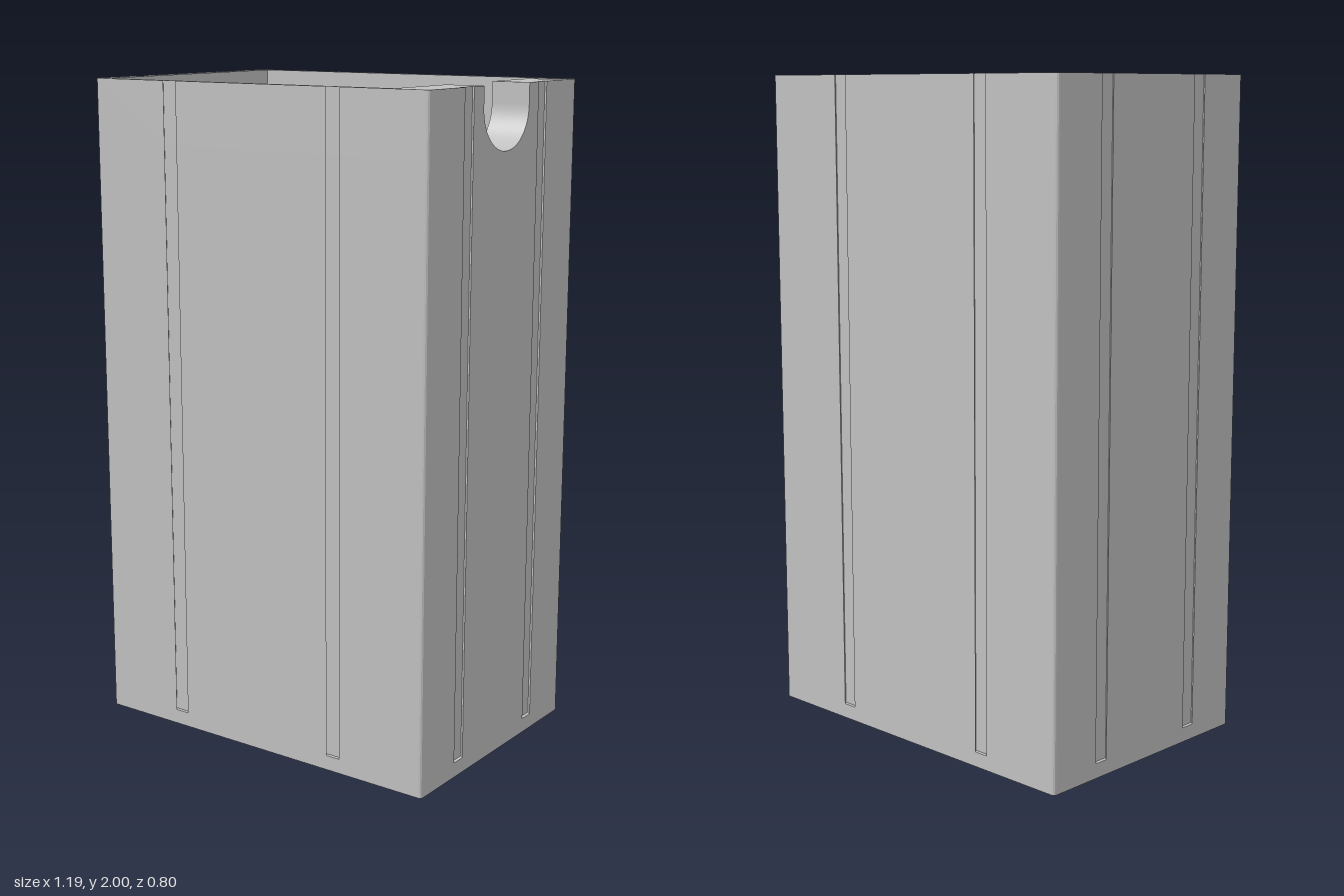
import * as THREE from 'three';

const W = 0.593, D = 0.4, H = 2;          // half width, half depth, height
const FLOOR = 0.045;                      // floor thickness, where grooves end
const NOTCH_R = 0.124, NOTCH_BOTTOM = 1.815;
const IN = { left: 0.47, right: -0.555, front: 0.38, back: -0.385 };

// plan points are [x, z]; the shape is turned so that extrusion runs up y
const toVectors = (pts) => pts.map(([x, z]) => new THREE.Vector2(x, -z));

function extrudeUp(shape, y0, y1) {
  const g = new THREE.ExtrudeGeometry(shape, { depth: y1 - y0, bevelEnabled: false, curveSegments: 32 });
  g.rotateX(-Math.PI / 2);
  g.translate(0, y0, 0);
  return g;
}

// dovetail groove, narrow at the surface; returned in walking direction
function groove(center, dir, surface, alongX) {
  const depth = 0.011 * Math.sign(surface);
  return [[-0.023, 0], [-0.032, depth], [0.032, depth], [0.023, 0]].map(([t, d]) => {
    const along = center + dir * t, across = surface - d;
    return alongX ? [along, across] : [across, along];
  });
}

// small rounded vertical corner, walking from the +x side towards +z
function corner(sx, sz, startOnSide) {
  const r = 0.01, pts = [];
  for (let i = 0; i <= 3; i++) {
    const a = (startOnSide ? i / 3 : 1 - i / 3) * Math.PI / 2;
    pts.push([sx * (W - r + r * Math.cos(a)), sz * (D - r + r * Math.sin(a))]);
  }
  return pts;
}

// outside walk from the notch round to the notch again
function outerPoints(grooved) {
  const g = (...args) => (grooved ? groove(...args) : []);
  return [
    [W, NOTCH_R],
    ...g(0.2, 1, W, false), ...corner(1, 1, true),
    ...g(0.281, -1, D, true), ...g(-0.303, -1, D, true), ...corner(-1, 1, false),
    ...g(0.2, -1, -W, false), ...g(-0.2, -1, -W, false), ...corner(-1, -1, true),
    ...g(-0.303, 1, -D, true), ...g(0.281, 1, -D, true), ...corner(1, -1, false),
    ...g(-0.2, 1, W, false),
    [W, -NOTCH_R],
  ];
}

// inside walk back, including the narrow slot in the thick wall
const innerPoints = [
  [IN.left, -NOTCH_R],
  [IN.left, -0.333], [0.571, -0.333], [0.577, -0.339], [0.577, -0.369], [0.571, -0.375], [IN.left, -0.375],
  [IN.left, IN.back], [IN.right, IN.back], [IN.right, IN.front], [IN.left, IN.front],
  [IN.left, NOTCH_R],
];

export function createModel() {
  const model = new THREE.Group();
  model.name = 'openBox';
  const grey = new THREE.MeshStandardMaterial({ color: 0xc0c0c0 });
  grey.name = 'grey';
  const add = (name, geometry) => {
    const mesh = new THREE.Mesh(geometry, grey);
    mesh.name = name;
    model.add(mesh);
  };

  // floor with a round hole
  const floor = new THREE.Shape(toVectors(outerPoints(false)));
  floor.holes.push(new THREE.Path().absarc(-0.048, 0.002, 0.104, 0, Math.PI * 2, true));
  add('floor', extrudeUp(floor, 0, FLOOR));

  // grooved walls up to the bottom of the notch
  const ring = new THREE.Shape(toVectors(outerPoints(true)));
  ring.holes.push(new THREE.Path(toVectors(innerPoints)));
  add('walls', extrudeUp(ring, FLOOR, NOTCH_BOTTOM));

  // upper walls, open at the notch
  const open = new THREE.Shape(toVectors([...outerPoints(true), ...innerPoints]));
  add('upperWalls', extrudeUp(open, NOTCH_BOTTOM, H));

  // round bottom of the notch
  const arcY = NOTCH_BOTTOM + NOTCH_R;
  const saddle = new THREE.Shape();
  saddle.moveTo(-NOTCH_R, NOTCH_BOTTOM);
  saddle.lineTo(NOTCH_R, NOTCH_BOTTOM);
  saddle.lineTo(NOTCH_R, arcY);
  saddle.absarc(0, arcY, NOTCH_R, 0, -Math.PI, true);
  saddle.closePath();
  const saddleGeometry = new THREE.ExtrudeGeometry(saddle, {
    depth: W - IN.left, bevelEnabled: false, curveSegments: 32,
  });
  saddleGeometry.rotateY(Math.PI / 2);
  saddleGeometry.translate(IN.left, 0, 0);
  add('notchSaddle', saddleGeometry);

  return model;
}
